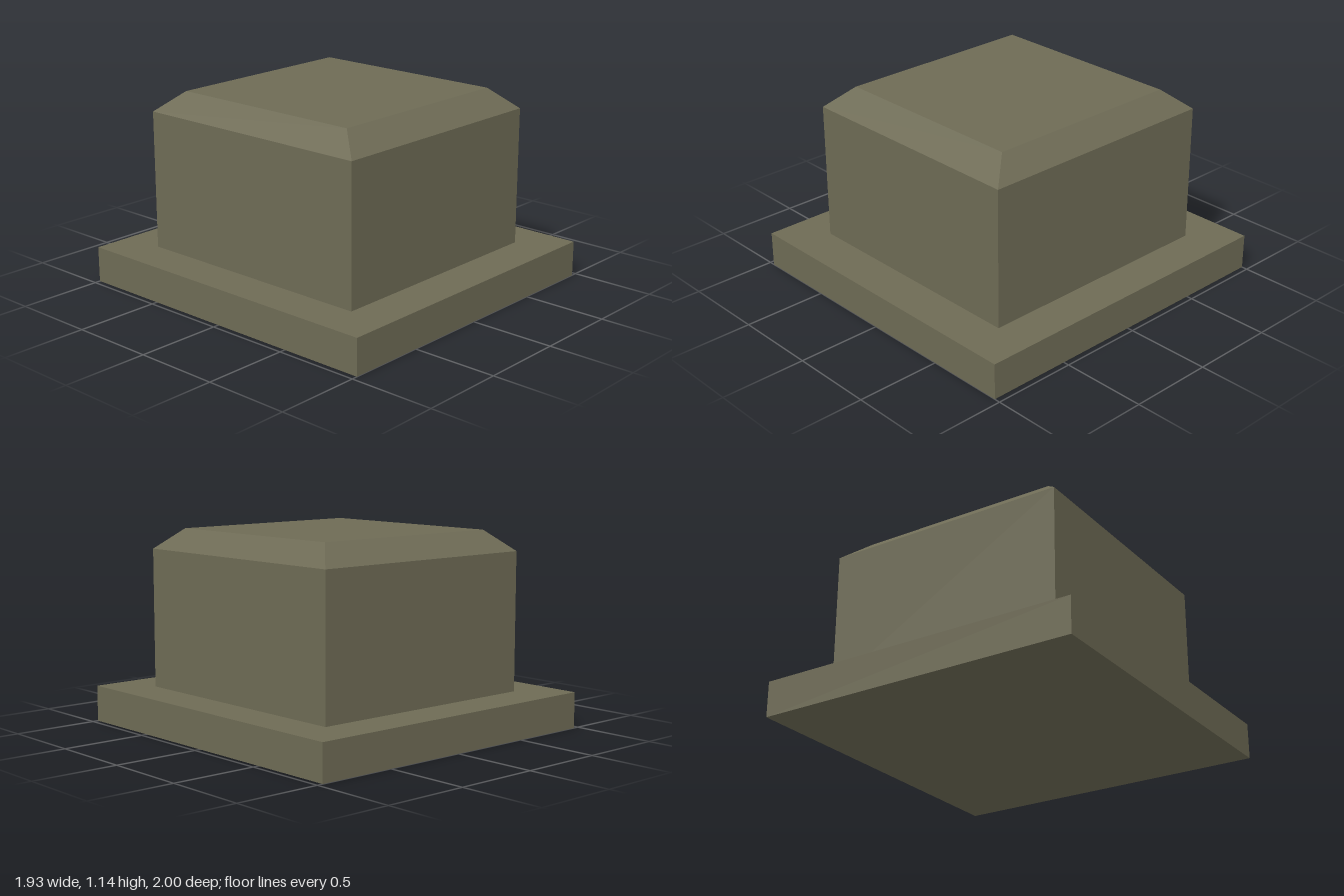
import * as THREE from 'three';

const olive = new THREE.MeshStandardMaterial({ color: 0x6e6b55 });
olive.name = 'olive';

// Box standing on y0, with its top face optionally drawn in to a smaller rectangle
function block(name, width, depth, y0, y1, topWidth = width, topDepth = depth) {
  let geometry = new THREE.BoxGeometry(width, y1 - y0, depth);
  geometry.translate(0, (y0 + y1) / 2, 0);
  const p = geometry.attributes.position;
  const middle = (y0 + y1) / 2;
  for (let i = 0; i < p.count; i++) {
    if (p.getY(i) > middle) {
      p.setX(i, Math.sign(p.getX(i)) * topWidth / 2);
      p.setZ(i, Math.sign(p.getZ(i)) * topDepth / 2);
    }
  }
  geometry = geometry.toNonIndexed();
  geometry.computeVertexNormals();
  const mesh = new THREE.Mesh(geometry, olive);
  mesh.name = name;
  return mesh;
}

export function createModel() {
  const model = new THREE.Group();
  model.name = 'pedestal';
  model.add(
    block('basePlate', 1.93, 2, 0, 0.21),
    block('body', 1.45, 1.5, 0.21, 1.02),
    block('bevelledCap', 1.45, 1.5, 1.02, 1.14, 1.2, 1.21),
  );
  return model;
}
